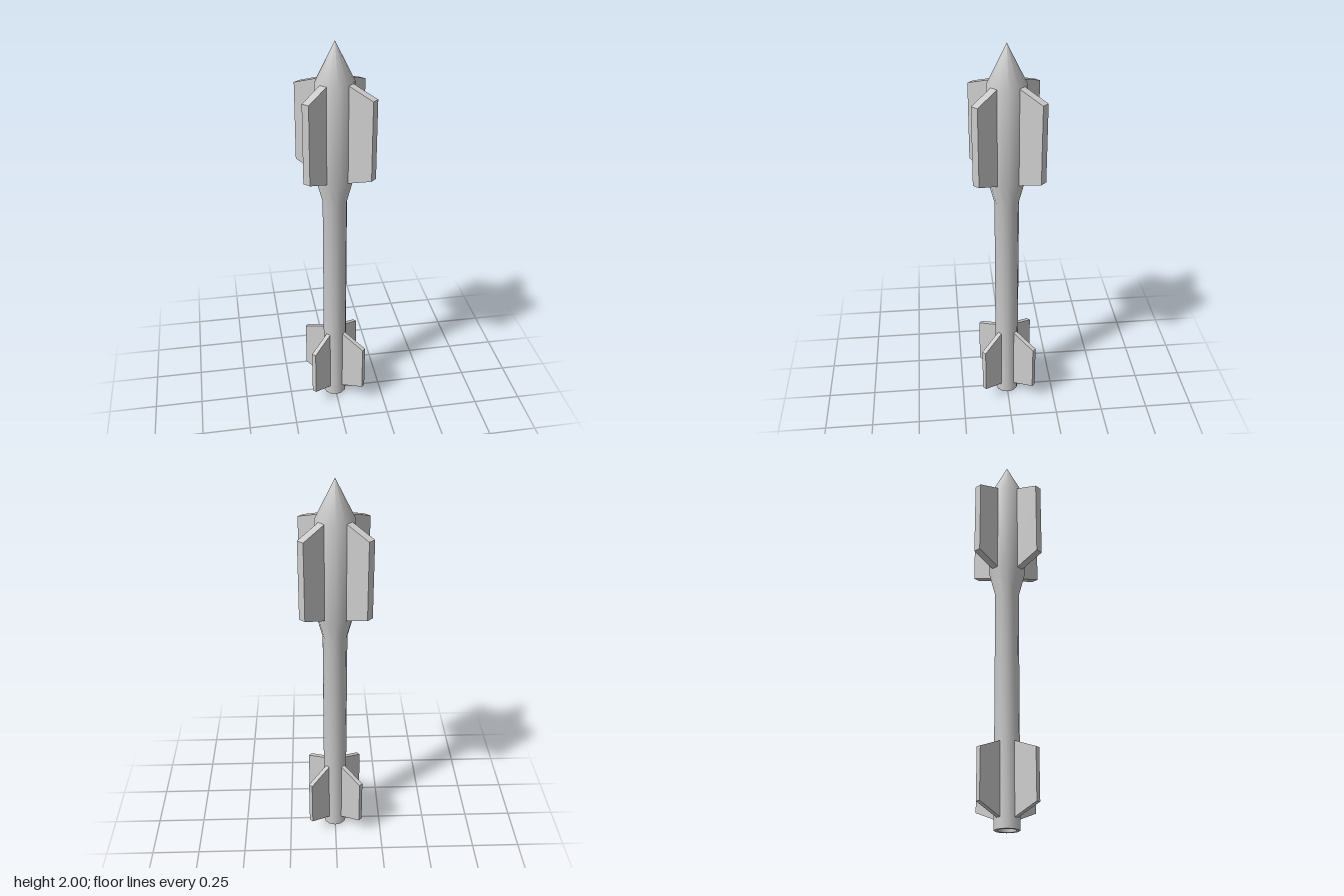
import * as THREE from 'three';
import { toCreasedNormals } from 'three/addons/utils/BufferGeometryUtils.js';

export function createModel() {
  const group = new THREE.Group();
  const grey = new THREE.MeshStandardMaterial({ color: 0xcccccc });
  grey.name = 'light grey';

  // Twelve-sided body: bore, rim, slim tube, flare, warhead and nose
  const profile = [
    [0, 0.4], [0.045, 0.4], [0.045, 0], [0.061, 0], [0.061, 1.2],
    [0.095, 1.33], [0.095, 1.81], [0, 2],
  ].map(([r, y]) => new THREE.Vector2(r, y));
  const body = new THREE.Mesh(toCreasedNormals(new THREE.LatheGeometry(profile, 12), 0.7), grey);
  body.name = 'body';
  group.add(body);

  // Four diagonal fins of clipped outline, set into the body at the root
  function addFins(name, rootR, tipR, rootLow, tipLow, tipHigh, rootHigh, thickness) {
    const outline = new THREE.Shape([
      [rootR, rootLow], [tipR, tipLow], [tipR, tipHigh], [rootR, rootHigh],
    ].map(([x, y]) => new THREE.Vector2(x, y)));
    const geometry = new THREE.ExtrudeGeometry(outline, { depth: thickness, bevelEnabled: false });
    geometry.translate(0, 0, -thickness / 2);
    const fins = new THREE.Group();
    fins.name = name;
    for (let i = 0; i < 4; i++) {
      const fin = new THREE.Mesh(geometry, grey);
      fin.name = 'fin';
      fin.rotation.y = Math.PI / 4 + i * Math.PI / 2;
      fins.add(fin);
    }
    group.add(fins);
  }
  addFins('frontFins', 0.085, 0.224, 1.325, 1.375, 1.767, 1.815, 0.038);
  addFins('tailFins', 0.052, 0.191, 0.05, 0.105, 0.355, 0.412, 0.023);

  return group;
}
